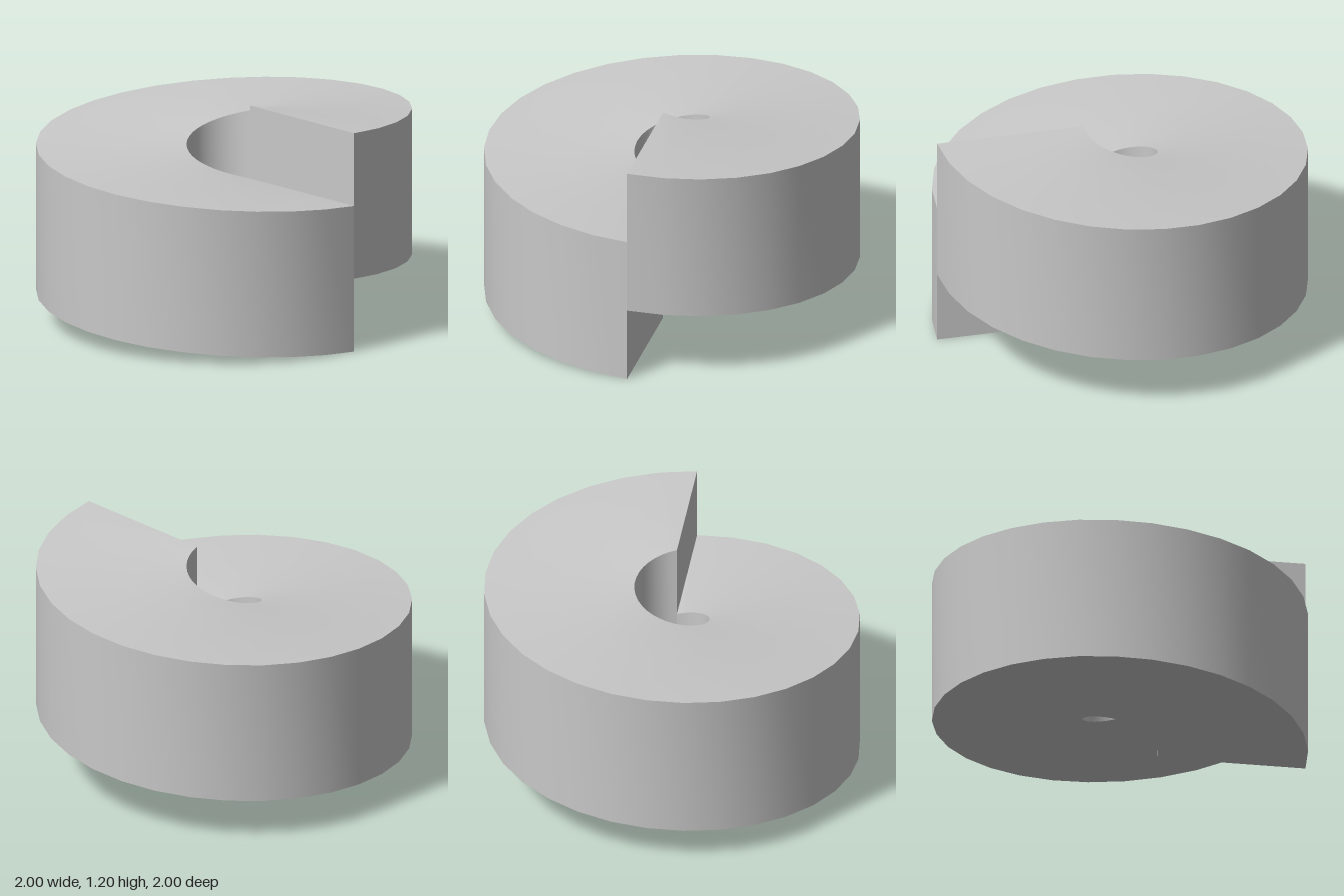
import * as THREE from 'three';

const INNER = 0.2, OUTER = 1, HEIGHT = 0.8, RISE = 0.4, SEGMENTS = 32;

// Point on the helix: one turn from +x through +z climbs by RISE.
function helixPoint(t, radius, lift) {
  const a = t * Math.PI * 2;
  return [radius * Math.cos(a), RISE * t + lift, radius * Math.sin(a)];
}

// Ribbon swept along the turn between two corners [radius, lift] of the section.
function ribbon(from, to) {
  const positions = [], index = [];
  for (let i = 0; i <= SEGMENTS; i++) {
    const t = i / SEGMENTS;
    positions.push(...helixPoint(t, ...from), ...helixPoint(t, ...to));
    if (i < SEGMENTS) {
      const k = i * 2;
      index.push(k, k + 2, k + 1, k + 1, k + 2, k + 3);
    }
  }
  return build(positions, index);
}

function build(positions, index) {
  const geometry = new THREE.BufferGeometry();
  geometry.setAttribute('position', new THREE.Float32BufferAttribute(positions, 3));
  geometry.setIndex(index);
  geometry.computeVertexNormals();
  return geometry;
}

export function createModel() {
  const group = new THREE.Group();
  group.name = 'helicalRing';
  const grey = new THREE.MeshStandardMaterial({ color: 0xc8c8c8 });
  grey.name = 'light grey';
  const add = (name, geometry) => {
    const mesh = new THREE.Mesh(geometry, grey);
    mesh.name = name;
    group.add(mesh);
  };

  // Section corners in order around the rectangle
  const corners = [[INNER, 0], [INNER, HEIGHT], [OUTER, HEIGHT], [OUTER, 0]];
  const names = ['innerWall', 'topRamp', 'outerWall', 'bottomRamp'];
  names.forEach((name, i) => add(name, ribbon(corners[i], corners[(i + 1) % 4])));

  // Flat ends of the turn: the lower one faces back, the upper one faces front
  const cap = (t, index) => build(corners.flatMap(c => helixPoint(t, ...c)), index);
  add('lowerEnd', cap(0, [0, 1, 2, 0, 2, 3]));
  add('upperEnd', cap(1, [0, 2, 1, 0, 3, 2]));
  return group;
}
